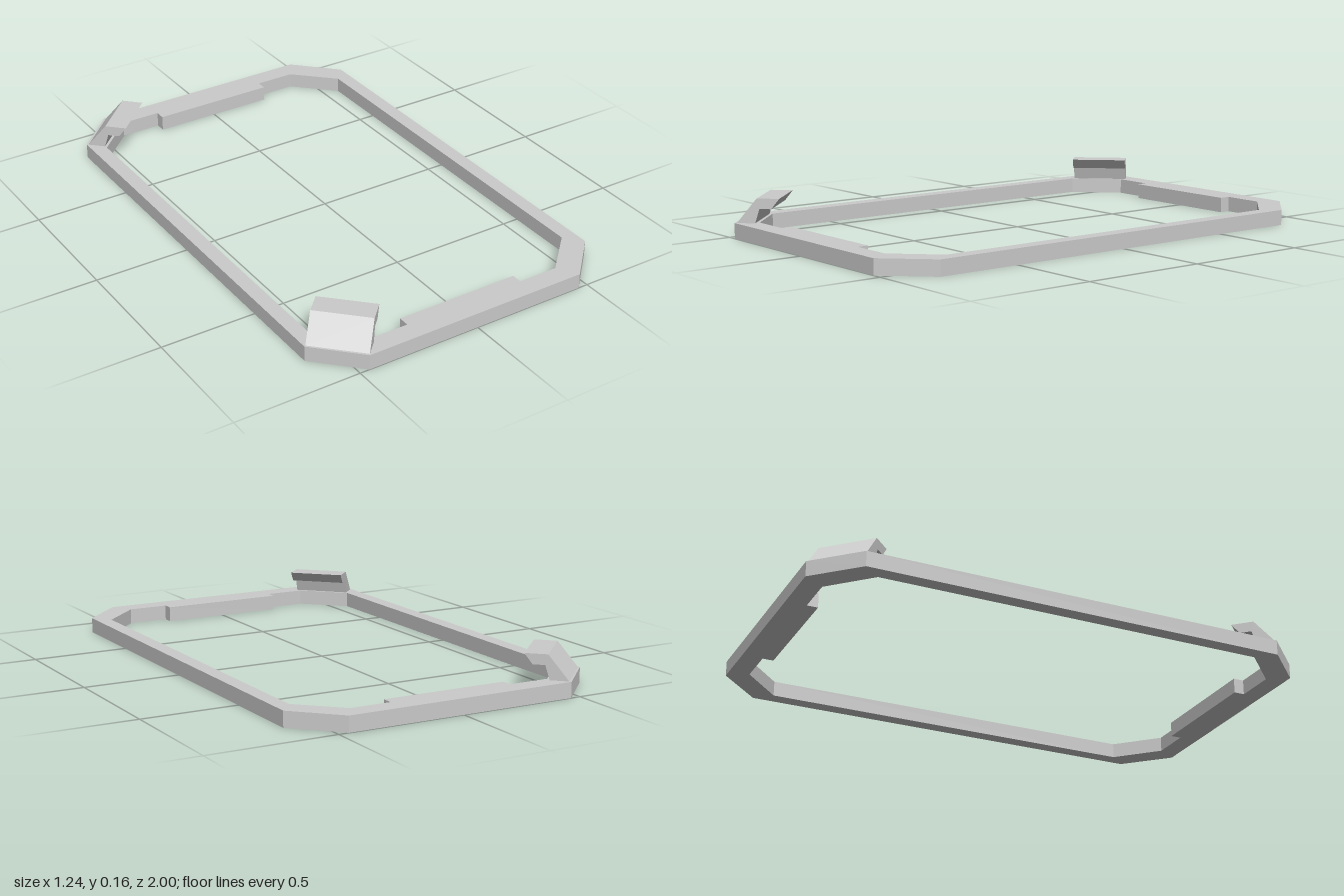
import * as THREE from 'three';

const material = new THREE.MeshStandardMaterial({ color: 0xcccccc, flatShading: true });
const HEIGHT = 0.06;

// Mirror one quarter outline (listed from the +x side to the +z side) into a closed loop
function mirrorQuarter(quarter) {
  const back = [...quarter].reverse();
  return [
    ...quarter,
    ...back.map(([x, z]) => [-x, z]),
    ...quarter.map(([x, z]) => [-x, -z]),
    ...back.map(([x, z]) => [x, -z]),
  ].map(([x, z]) => new THREE.Vector2(x, z));
}

// Chamfered ring with a wide inner tab on each short side
function createFrame() {
  const shape = new THREE.Shape(mirrorQuarter([[0.622, 0.837], [0.461, 1]]));
  shape.holes.push(new THREE.Path(mirrorQuarter([
    [0.564, 0.77], [0.411, 0.92], [0.25, 0.92], [0.25, 0.877],
  ])));
  const geometry = new THREE.ExtrudeGeometry(shape, { depth: HEIGHT, bevelEnabled: false });
  geometry.rotateX(-Math.PI / 2);
  const mesh = new THREE.Mesh(geometry, material);
  mesh.name = 'frame';
  return mesh;
}

// Leaning hook: profile runs inward from the corner, extruded along the chamfer
function createClip(side) {
  const length = 0.226;
  const profile = [
    [0, HEIGHT], [0.071, HEIGHT], [0.088, 0.115],
    [0.134, 0.115], [0.165, 0.155], [0.078, 0.155],
  ].map(([u, y]) => new THREE.Vector2(u, y));
  const geometry = new THREE.ExtrudeGeometry(new THREE.Shape(profile), {
    depth: length, bevelEnabled: false,
  });
  geometry.translate(0, 0, -length / 2);
  const mesh = new THREE.Mesh(geometry, material);
  mesh.rotation.y = side * Math.PI / 4;
  mesh.position.set(-0.536, 0, side * 0.913);
  mesh.name = side > 0 ? 'frontClip' : 'rearClip';
  return mesh;
}

export function createModel() {
  const model = new THREE.Group();
  model.name = 'clipFrame';
  model.add(createFrame(), createClip(1), createClip(-1));
  return model;
}
